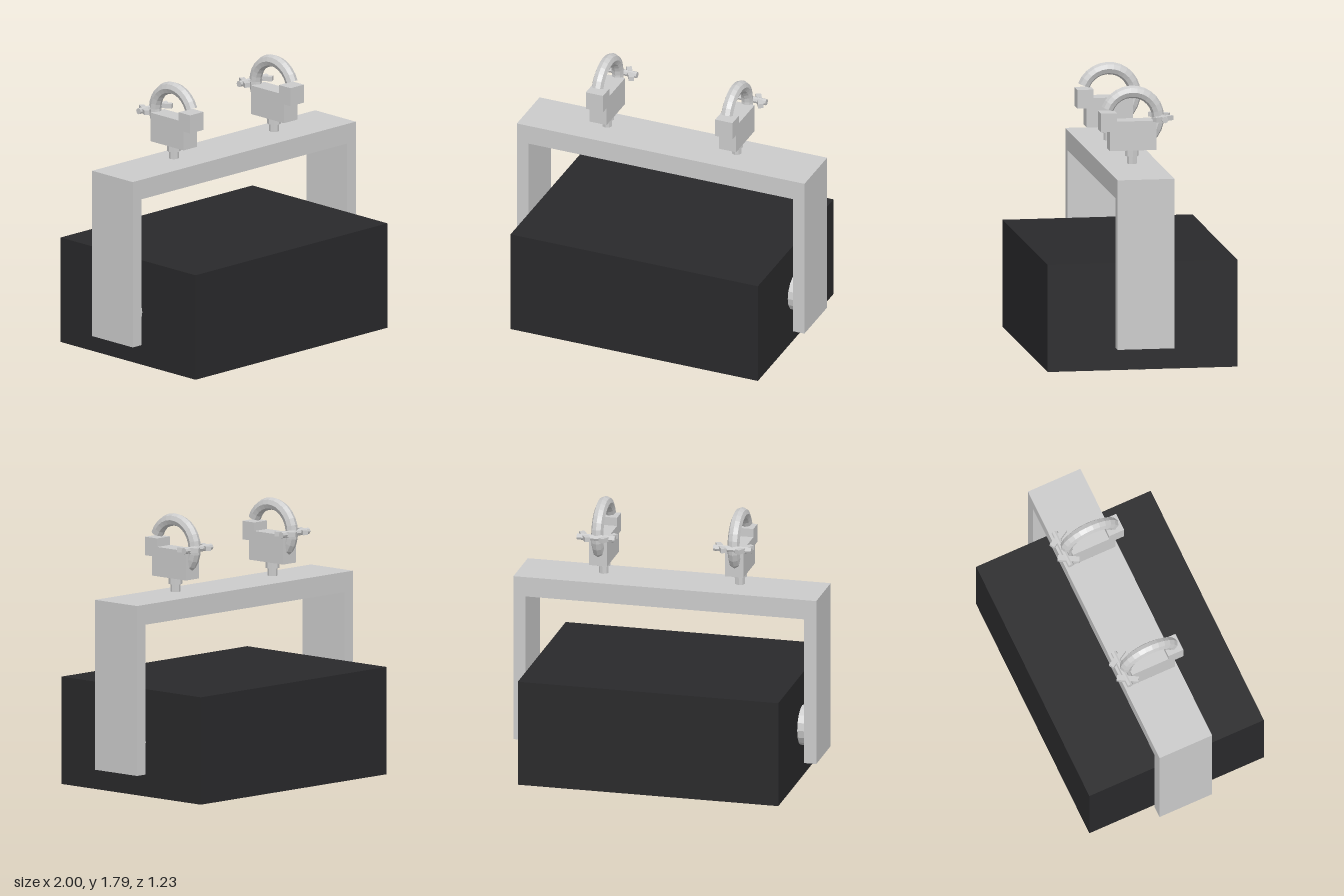
import * as THREE from 'three';

const grey = new THREE.MeshStandardMaterial({ color: 0xcccccc, flatShading: true });
const greyThin = new THREE.MeshStandardMaterial({ color: 0xcccccc, flatShading: true, side: THREE.DoubleSide });
const black = new THREE.MeshStandardMaterial({ color: 0x29292b, flatShading: true });

function add(parent, name, geometry, material = grey, x = 0, y = 0, z = 0) {
  const mesh = new THREE.Mesh(geometry, material);
  mesh.name = name;
  mesh.position.set(x, y, z);
  parent.add(mesh);
  return mesh;
}

const box = (w, h, d) => new THREE.BoxGeometry(w, h, d);
const rod = (r, length, sides) => new THREE.CylinderGeometry(r, r, length, sides).rotateZ(Math.PI / 2);

// Corners of a rectangle given by its half sizes
const corners = (a, b) => [[-a, -b], [a, -b], [a, b], [-a, b]].map(([x, y]) => new THREE.Vector2(x, y));

// Flat rectangular ring, standing on y = 0
function ring(ox, oz, ix, iz, height) {
  const shape = new THREE.Shape(corners(ox, oz));
  shape.holes.push(new THREE.Path(corners(ix, iz)));
  return new THREE.ExtrudeGeometry(shape, { depth: height, bevelEnabled: false }).rotateX(-Math.PI / 2);
}

// Sloping side walls between two rectangles at different heights
function slopedWalls(ax, az, ay, bx, bz, by) {
  const pos = [], index = [];
  corners(ax, az).forEach(p => pos.push(p.x, ay, p.y));
  corners(bx, bz).forEach(p => pos.push(p.x, by, p.y));
  for (let i = 0; i < 4; i++) {
    const j = (i + 1) % 4;
    index.push(i, j, j + 4, i, j + 4, i + 4);
  }
  const g = new THREE.BufferGeometry();
  g.setAttribute('position', new THREE.Float32BufferAttribute(pos, 3));
  g.setIndex(index);
  g.computeVertexNormals();
  return g;
}

function createHousing() {
  const g = new THREE.Group();
  g.name = 'housing';
  add(g, 'housingBody', box(1.72, 0.6, 1.23), black, 0, 0.42);
  add(g, 'housingSkirt', ring(0.86, 0.615, 0.76, 0.51, 0.095), black, 0, 0.025);

  // Lamp opening: trim, sloping reflector and its flat back
  add(g, 'openingTrim', ring(0.775, 0.525, 0.75, 0.5, 0.02), grey, 0, 0.013);
  add(g, 'reflectorWalls', slopedWalls(0.755, 0.505, 0.02, 0.685, 0.435, 0.1), greyThin);
  add(g, 'reflectorBack', box(1.38, 0.015, 0.88), grey, 0, 0.107);

  // Lamp tube held between two sockets
  add(g, 'lampTube', rod(0.02, 1.3, 12), grey, 0, 0.045);
  for (const s of [-1, 1]) {
    add(g, 'lampSocket', rod(0.042, 0.13, 12), grey, s * 0.685, 0.044);
    add(g, 'socketBase', box(0.1, 0.06, 0.06), grey, s * 0.685, 0.075);
  }
  return g;
}

function createYoke() {
  const g = new THREE.Group();
  g.name = 'yoke';
  // Upside-down U bracket
  const outline = [[-1, 0.18], [-0.92, 0.18], [-0.92, 1.15], [0.92, 1.15], [0.92, 0.18], [1, 0.18], [1, 1.28], [-1, 1.28]];
  const shape = new THREE.Shape(outline.map(([x, y]) => new THREE.Vector2(x, y)));
  add(g, 'yokeBracket', new THREE.ExtrudeGeometry(shape, { depth: 0.37, bevelEnabled: false }), grey, 0, 0, -0.185);
  for (const s of [-1, 1]) add(g, 'pivot', rod(0.13, 0.08, 16), grey, s * 0.885, 0.375);
  return g;
}

function createClamp() {
  const g = new THREE.Group();
  g.name = 'clamp';
  // Stepped block, drawn as a side profile (z, y)
  const profile = [[-0.15, 1.385], [0.15, 1.385], [0.15, 1.51], [0.21, 1.51], [0.21, 1.63], [0.105, 1.63], [0.105, 1.575], [-0.15, 1.575]];
  const shape = new THREE.Shape(profile.map(([z, y]) => new THREE.Vector2(z, y)));
  const block = new THREE.ExtrudeGeometry(shape, { depth: 0.12, bevelEnabled: false });
  add(g, 'clampBlock', block.rotateY(-Math.PI / 2), grey, 0.06);

  // Mounting bolt
  add(g, 'boltCollar', new THREE.CylinderGeometry(0.045, 0.045, 0.05, 8), grey, 0, 1.367);
  add(g, 'boltTip', new THREE.CylinderGeometry(0.032, 0.032, 0.06, 8), grey, 0, 1.322);

  // Hook curling over the pipe, with closed ends
  const R = 0.17, r = 0.04, start = Math.PI * 0.12, arc = Math.PI * 1.16;
  const place = geo => geo.rotateZ(start).rotateY(-Math.PI / 2);
  const cap = (turn, angle) => place(new THREE.CircleGeometry(r, 8).rotateX(turn).translate(R, 0, 0).rotateZ(angle));
  add(g, 'hook', place(new THREE.TorusGeometry(R, r, 8, 16, arc)), grey, 0, 1.587);
  add(g, 'hookTip', cap(Math.PI / 2, 0), greyThin, 0, 1.587);
  add(g, 'hookRoot', cap(-Math.PI / 2, arc), greyThin, 0, 1.587);

  // Wing bolt across the back of the hook
  add(g, 'wingAxle', rod(0.021, 0.25, 8), grey, 0, 1.588, -0.195);
  for (const s of [-1, 1]) {
    const wing = add(g, 'wing', box(0.035, 0.03, 0.14), grey, s * 0.078, 1.59, -0.19);
    wing.rotation.y = s * 0.52;
  }
  return g;
}

export function createModel() {
  const model = new THREE.Group();
  model.name = 'floodlight';
  model.add(createHousing(), createYoke());
  for (const s of [-1, 1]) {
    const clamp = createClamp();
    clamp.position.x = s * 0.45;
    model.add(clamp);
  }
  return model;
}
